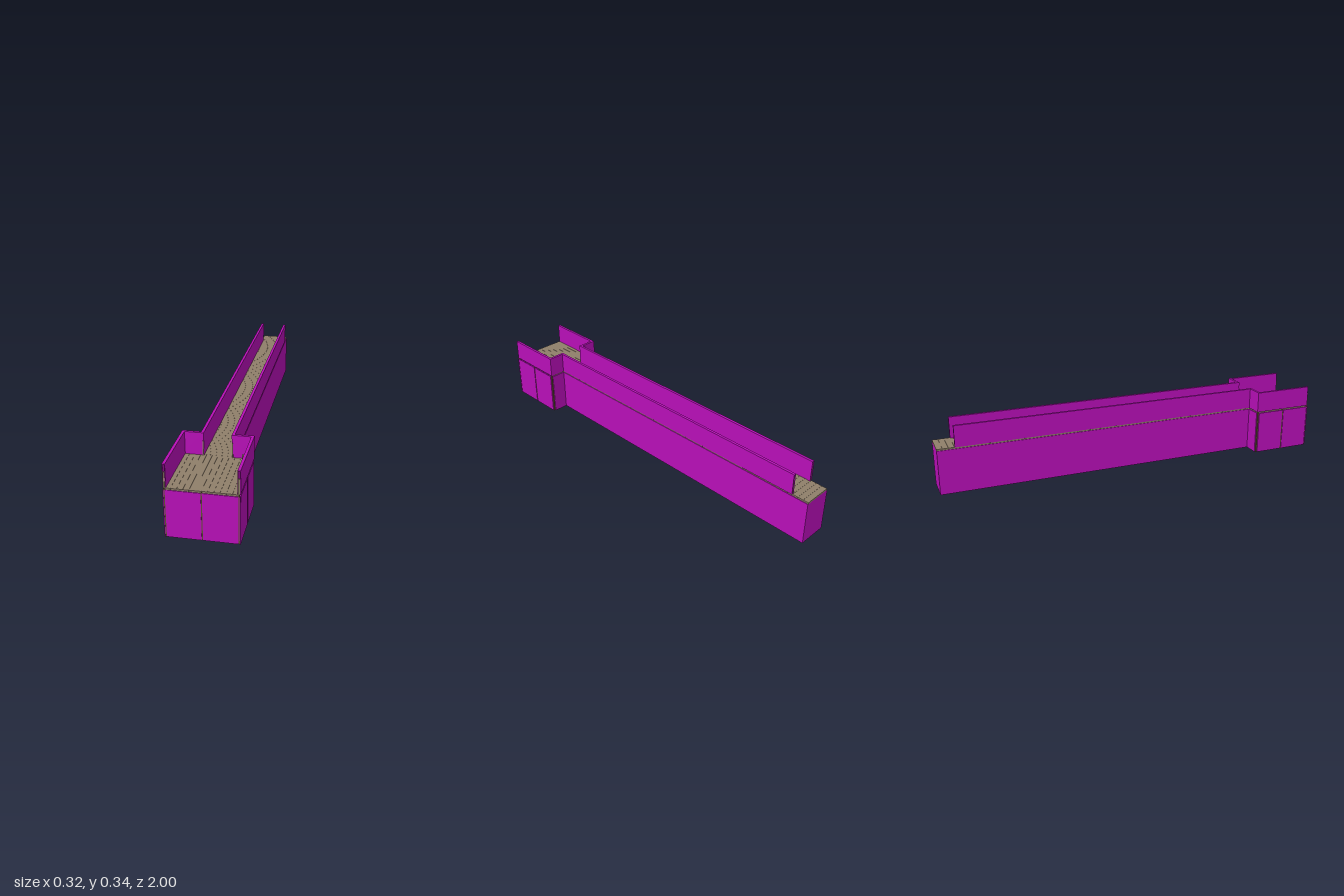
import * as THREE from 'three';

const panelMat = new THREE.MeshStandardMaterial({ color: 0xb80fb8 });
const woodMat = new THREE.MeshStandardMaterial({ color: 0x8f7f6a });
const postMat = new THREE.MeshStandardMaterial({ color: 0x5f4f34 });

const DECK = 0.23, SKIRT = 0.222, RAIL = 0.337;
const BACK = -1, JOIN = 0.685, FRONT = 1; // z of walkway end, walkway/platform joint, platform end
const T = 0.006; // skirt thickness

export function createModel() {
  const root = new THREE.Group();
  const group = (name) => {
    const g = new THREE.Group();
    g.name = name;
    root.add(g);
    return g;
  };
  // Box given by its extents on each axis
  const box = (parent, name, mat, x0, x1, y0, y1, z0, z1) => {
    const m = new THREE.Mesh(new THREE.BoxGeometry(Math.abs(x1 - x0), y1 - y0, z1 - z0), mat);
    m.position.set((x0 + x1) / 2, (y0 + y1) / 2, (z0 + z1) / 2);
    m.name = name;
    parent.add(m);
  };

  const skirt = group('skirt'), rails = group('railing'), posts = group('posts'), deck = group('deck');

  // Upright post from the ground to just under the deck surface
  const post = (x, z, w = 0.007) =>
    box(posts, 'post', postMat, x - w / 2, x + w / 2, 0, DECK - 0.002, z - w / 2, z + w / 2);

  for (const s of [-1, 1]) {
    // Skirt panels, split where a post shows between them
    box(skirt, 'walkwaySkirt', panelMat, s * 0.068, s * 0.074, 0, SKIRT, BACK, JOIN);
    box(skirt, 'platformBackSkirt', panelMat, s * 0.068, s * 0.151, 0, SKIRT, JOIN - T, JOIN);
    box(skirt, 'platformFrontSkirt', panelMat, s * 0.0025, s * 0.151, 0, SKIRT, FRONT - T, FRONT);
    box(skirt, 'platformSideSkirt', panelMat, s * 0.154, s * 0.16, 0, SKIRT, JOIN + 0.006, 0.837);
    box(skirt, 'platformSideSkirt', panelMat, s * 0.154, s * 0.16, 0, SKIRT, 0.844, FRONT - 0.007);
    box(skirt, 'platformCornerSkirt', panelMat, s * 0.156, s * 0.16, 0, SKIRT, FRONT - 0.004, FRONT);

    // Walkway posts, then the platform's corner and middle posts
    for (let i = 0; i < 7; i++) post(s * 0.0655, 0.61 - i * 0.23);
    post(s * 0.066, JOIN + 0.004);
    post(s * 0.1535, JOIN + 0.001);
    post(s * 0.1535, 0.8405);
    post(s * 0.1535, FRONT - 0.0045);

    // Railing: double sheets closed by a cap
    const yTop = RAIL - 0.004;
    const rail = (name, a, b, z0, z1) => {
      box(rails, name + 'Inner', panelMat, s * a, s * (a + 0.003), DECK, yTop, z0, z1);
      box(rails, name + 'Outer', panelMat, s * (b - 0.003), s * b, DECK, yTop, z0, z1);
      box(rails, name + 'Cap', panelMat, s * a, s * b, yTop, RAIL, z0, z1);
    };
    rail('walkwayRail', 0.062, 0.075, -0.915, JOIN + 0.005);
    rail('platformSideRail', 0.147, 0.16, JOIN - 0.006, 0.994);
    box(rails, 'platformBackRail', panelMat, s * 0.062, s * 0.16, DECK, RAIL, JOIN - 0.006, JOIN + 0.007);

    // Short posts inside the railing ends
    box(posts, 'railPost', woodMat, s * 0.15, s * 0.157, DECK, 0.3, 0.99, 0.998);
    box(posts, 'railPost', woodMat, s * 0.065, s * 0.072, DECK, 0.3, -0.912, -0.905);
    box(posts, 'railPost', woodMat, s * 0.063, s * 0.068, DECK, 0.3, JOIN + 0.004, JOIN + 0.0095);
  }
  box(skirt, 'walkwayEndSkirt', panelMat, -0.068, 0.068, 0, SKIRT, BACK, BACK + T);
  post(0, FRONT - 0.004, 0.005);

  // Deck backing and planks: across the walkway, lengthwise on the platform
  const under = SKIRT - 0.003;
  box(deck, 'walkwayBacking', panelMat, -0.068, 0.068, under, SKIRT, BACK + T, JOIN);
  box(deck, 'platformBacking', panelMat, -0.15, 0.15, under, SKIRT, JOIN, FRONT - T);
  const gap = 0.0006, rows = 60, cols = 12;
  const dz = (JOIN - BACK) / rows, dx = 0.306 / cols;
  for (let i = 0; i < rows; i++) {
    const z = BACK + i * dz;
    box(deck, 'walkwayPlank', woodMat, -0.071, 0.071, SKIRT, DECK, z, z + dz - gap);
  }
  for (let i = 0; i < cols; i++) {
    const x = -0.153 + i * dx;
    box(deck, 'platformPlank', woodMat, x, x + dx - gap, SKIRT, DECK, JOIN, FRONT - 0.003);
  }

  // Small bollard on the platform
  box(root, 'bollard', woodMat, 0.113, 0.13, DECK, 0.261, 0.712, 0.73);

  return root;
}
